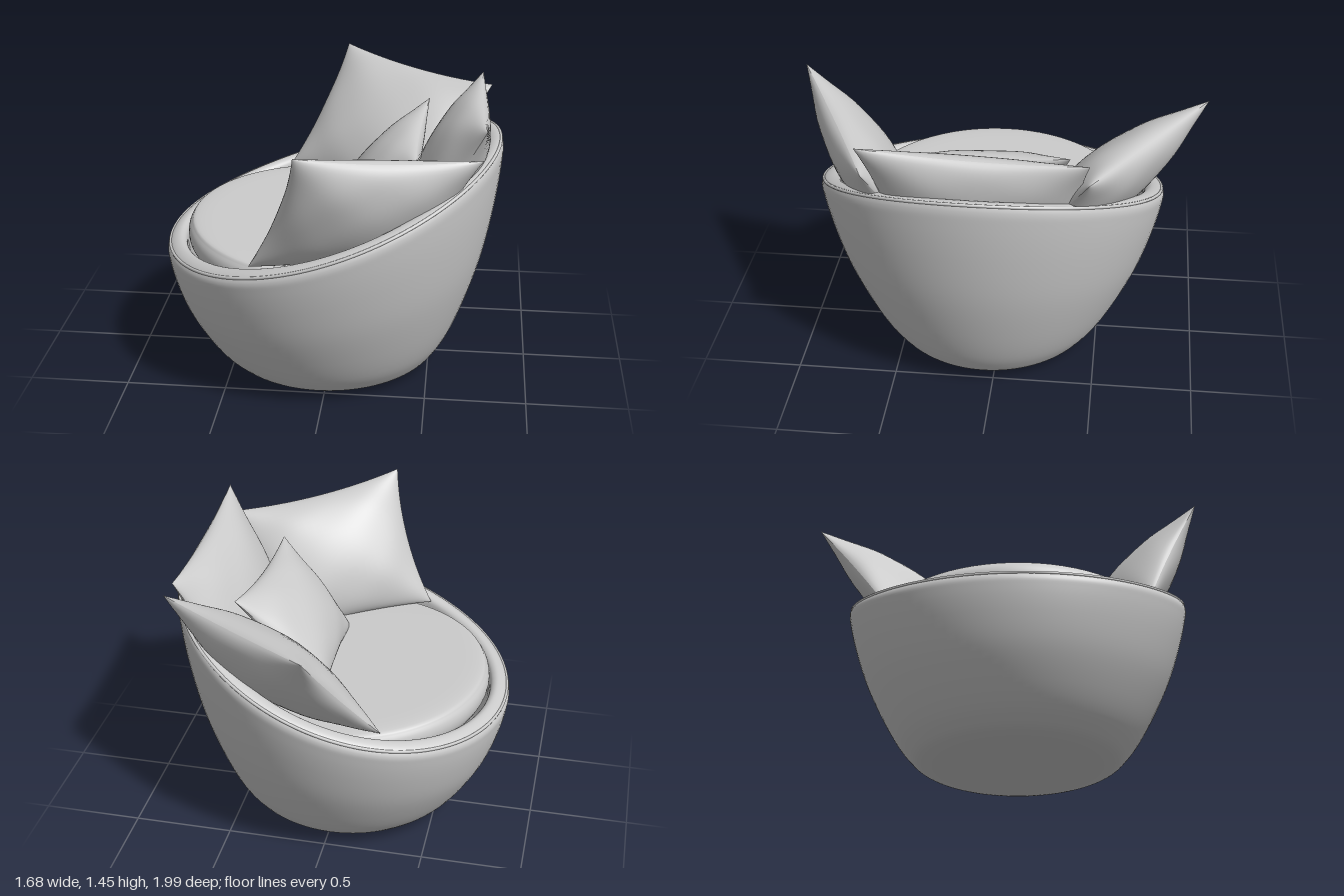
import * as THREE from 'three';
import { mergeVertices } from 'three/addons/utils/BufferGeometryUtils.js';

const CENTER_Z = 0.05;
const material = new THREE.MeshStandardMaterial({ color: 0xcccccc });

// Smooth surface from a rule fn(u, v) -> Vector3, with u and v from 0 to 1
function surface(fn, nu, nv) {
  const positions = [], index = [];
  for (let i = 0; i <= nu; i++)
    for (let j = 0; j <= nv; j++) positions.push(...fn(i / nu, j / nv).toArray());
  for (let i = 0; i < nu; i++)
    for (let j = 0; j < nv; j++) {
      const a = i * (nv + 1) + j, b = a + nv + 1;
      index.push(a, a + 1, b, b, a + 1, b + 1);
    }
  let geometry = new THREE.BufferGeometry();
  geometry.setAttribute('position', new THREE.Float32BufferAttribute(positions, 3));
  geometry.setIndex(index);
  geometry = mergeVertices(geometry, 1e-5);
  geometry.computeVertexNormals();
  return geometry;
}

function add(parent, name, geometry) {
  const mesh = new THREE.Mesh(geometry, material);
  mesh.name = name;
  parent.add(mesh);
  return mesh;
}

// Height of the sloping rim, low at -x and high at +x
const rimHeight = (x) => 0.87 + 0.337 * x + 0.1 * x * x;

// Tub section: radius, share of the rim height, vertical offset
const section = new THREE.CatmullRomCurve3([
  [0, 0, 0], [0.28, 0.003, 0], [0.44, 0.02, 0], [0.52, 0.05, 0], [0.575, 0.11, 0],
  [0.62, 0.18, 0], [0.685, 0.32, 0], [0.76, 0.53, 0], [0.81, 0.75, 0], [0.834, 0.92, 0],
  [0.836, 0.985, 0], [0.825, 1, 0.012], [0.8, 1, 0.028], [0.77, 1, 0.03], [0.745, 1, 0.01],
  [0.735, 1, -0.04], [0.725, 1, -0.16], [0.69, 1, -0.36], [0.6, 1, -0.45], [0, 1, -0.45],
].map((p) => new THREE.Vector3(...p)), false, 'centripetal');

function tubPoint(angle, r, share, offset) {
  const c = Math.cos(angle), s = Math.sin(angle);
  const h = rimHeight((share < 0.999 ? 0.83 : r) * c);
  const zScale = 0.96 + 0.07 * Math.min(share, 1);
  return new THREE.Vector3(r * c, Math.max(0, share * h + offset), CENTER_Z + r * s * zScale);
}

// Pillow through four corners, with pinched edges and two swollen faces
function pillow(parent, name, corners, thickness, pinch) {
  const group = new THREE.Group();
  group.name = name;
  parent.add(group);
  const [tl, tr, bl, br] = corners.map((p) => new THREE.Vector3(...p));
  const across = tr.clone().add(br).sub(tl).sub(bl);
  const up = tl.clone().add(tr).sub(bl).sub(br);
  const normal = up.cross(across).normalize();
  for (const side of [1, -1]) {
    const face = surface((a, b) => {
      // Samples crowd towards the seam
      const u = -Math.cos(a * Math.PI) * side, v = -Math.cos(b * Math.PI);
      const pu = u * (1 - pinch * (1 - v * v)), pv = v * (1 - pinch * (1 - u * u));
      const top = tl.clone().lerp(tr, (pu + 1) / 2);
      const bottom = bl.clone().lerp(br, (pu + 1) / 2);
      const point = bottom.lerp(top, (pv + 1) / 2);
      const swell = Math.pow(Math.max(0, (1 - u * u) * (1 - v * v)), 0.55);
      const fold = 1 + 0.06 * Math.sin(7 * u + 2) * Math.sin(6 * v + 1) * (u * u + v * v);
      return point.addScaledVector(normal, side * thickness * swell * fold);
    }, 32, 32);
    add(group, side > 0 ? 'pillowFace' : 'pillowBack', face);
  }
}

export function createModel() {
  const model = new THREE.Group();
  model.name = 'tubChair';

  // Upholstered shell: base, outer wall, rolled rim and inner wall
  add(model, 'tubShell', surface((u, v) => {
    const p = section.getPoint(v);
    return tubPoint(u * Math.PI * 2, p.x, p.y, p.z);
  }, 96, 95));

  // Piping along the outer edge of the rim
  const pipe = [];
  for (let i = 0; i < 48; i++) pipe.push(tubPoint((i / 48) * Math.PI * 2, 0.824, 1, 0.012));
  add(model, 'rimPiping', new THREE.TubeGeometry(
    new THREE.CatmullRomCurve3(pipe, true), 128, 0.008, 8, true));

  // Round seat cushion, tipped slightly towards the back
  const seatProfile = new THREE.SplineCurve([
    [0, -0.17], [0.4, -0.17], [0.66, -0.165], [0.715, -0.13], [0.73, -0.075],
    [0.715, -0.025], [0.67, 0], [0.45, 0.005], [0, 0.005],
  ].map((p) => new THREE.Vector2(...p))).getPoints(40);
  seatProfile.forEach((p) => { p.x = Math.max(0, p.x); });
  const seat = add(model, 'seatCushion', new THREE.LatheGeometry(seatProfile, 72));
  seat.position.set(0, 0.78, CENTER_Z);
  seat.rotation.z = -0.025;

  // Loose pillows: top pair of corners, then bottom pair
  pillow(model, 'frontSidePillow',
    [[-0.08, 1.44, 0.99], [0.74, 1.3, 0.57], [-0.33, 0.79, 0.72], [0.47, 0.68, 0.3]], 0.15, 0.09);
  pillow(model, 'rearSidePillow',
    [[-0.02, 1.37, -1], [0.78, 1.33, -0.46], [-0.3, 0.79, -0.6], [0.5, 0.72, -0.06]], 0.15, 0.08);
  pillow(model, 'backPillow',
    [[0.73, 1.4, -0.46], [0.75, 1.445, 0.59], [0.42, 0.74, -0.42], [0.42, 0.76, 0.5]], 0.14, 0.08);
  pillow(model, 'smallPillow',
    [[0.46, 1.28, -0.36], [0.43, 1.23, 0.47], [0.03, 0.8, -0.34], [0.06, 0.75, 0.43]], 0.12, 0.09);

  return model;
}
